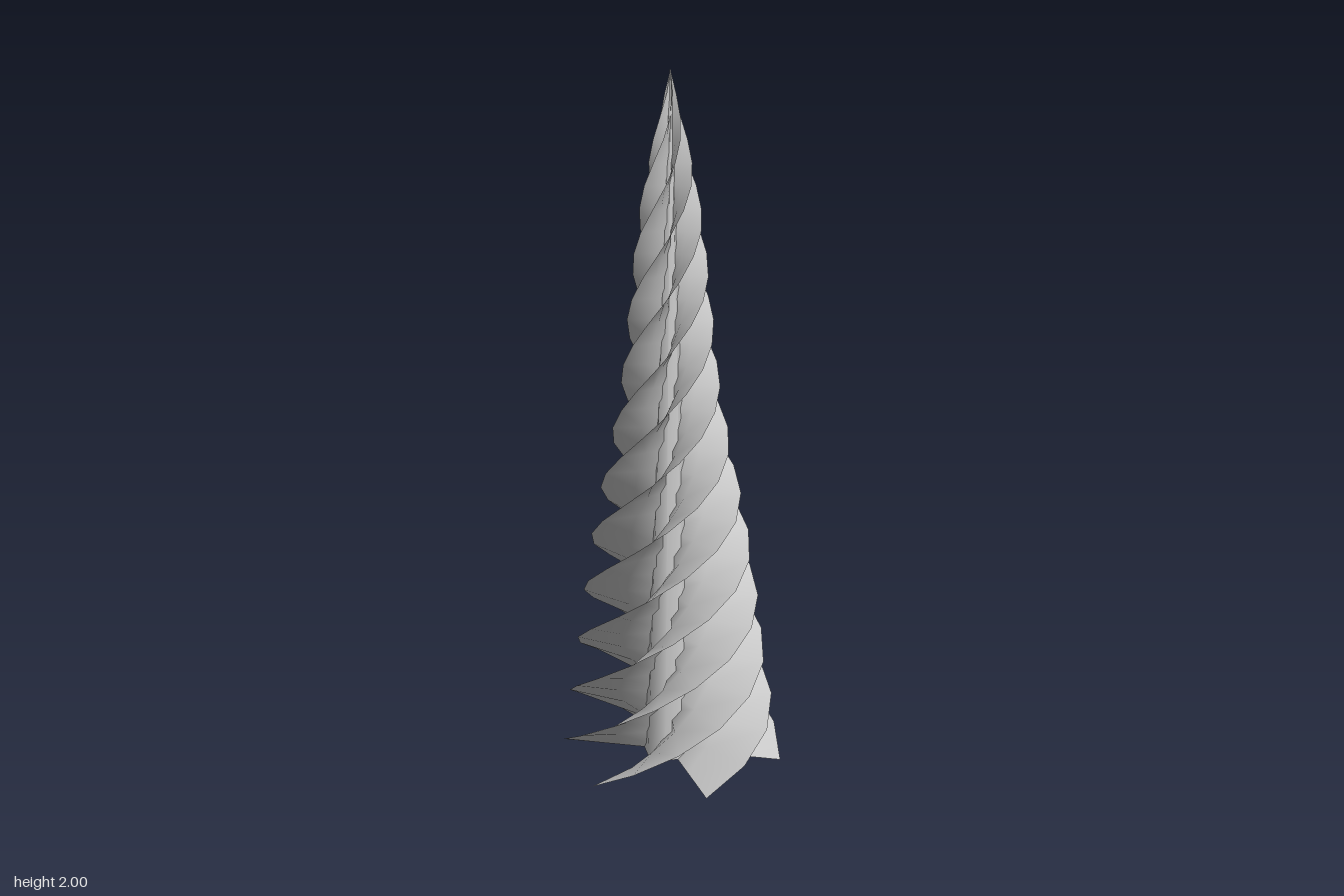
import * as THREE from 'three';

const HEIGHT = 2;
const BLADES = 6;
const STEPS = 32; // rings along the height
const TWIST = THREE.MathUtils.degToRad(748);
const START = THREE.MathUtils.degToRad(13.7);

// Rim radius against height
const PROFILE = [
  [0, 0.335], [0.0625, 0.323], [0.125, 0.313], [0.27, 0.289], [0.43, 0.268], [0.6, 0.245],
  [0.76, 0.218], [0.92, 0.182], [1.08, 0.15], [1.24, 0.13], [1.4, 0.114],
  [1.56, 0.097], [1.72, 0.071], [1.86, 0.036], [2, 0],
];

function rimRadius(y) {
  for (let i = 1; i < PROFILE.length; i++) {
    const [y0, r0] = PROFILE[i - 1], [y1, r1] = PROFILE[i];
    if (y <= y1) return THREE.MathUtils.mapLinear(y, y0, y1, r0, r1);
  }
  return 0;
}

// One thin sheet from the axis to the rim, winding upwards
function bladeGeometry() {
  const across = 2;
  const geo = new THREE.PlaneGeometry(1, 1, across, STEPS);
  const pos = geo.attributes.position;
  for (let i = 0; i < pos.count; i++) {
    const u = pos.getX(i) + 0.5;
    const t = pos.getY(i) + 0.5;
    const y = t * HEIGHT;
    const r = u * rimRadius(y);
    const a = START + t * TWIST;
    pos.setXYZ(i, r * Math.cos(a), y, -r * Math.sin(a));
  }
  geo.computeVertexNormals();
  return geo;
}

export function createModel() {
  const model = new THREE.Group();
  model.name = 'twistedSpire';
  const material = new THREE.MeshStandardMaterial({ color: 0xcccccc, side: THREE.DoubleSide });

  // Spiral blades
  const blades = new THREE.Group();
  blades.name = 'spiralBlades';
  const geo = bladeGeometry();
  for (let i = 0; i < BLADES; i++) {
    const blade = new THREE.Mesh(geo, material);
    blade.name = 'blade' + (i + 1);
    blade.rotation.y = (i * Math.PI * 2) / BLADES;
    blades.add(blade);
  }
  model.add(blades);

  // Slim tapering core
  const core = new THREE.Mesh(new THREE.CylinderGeometry(0.002, 0.08, HEIGHT, 8, 1), material);
  core.name = 'core';
  core.position.y = HEIGHT / 2;
  model.add(core);

  return model;
}
